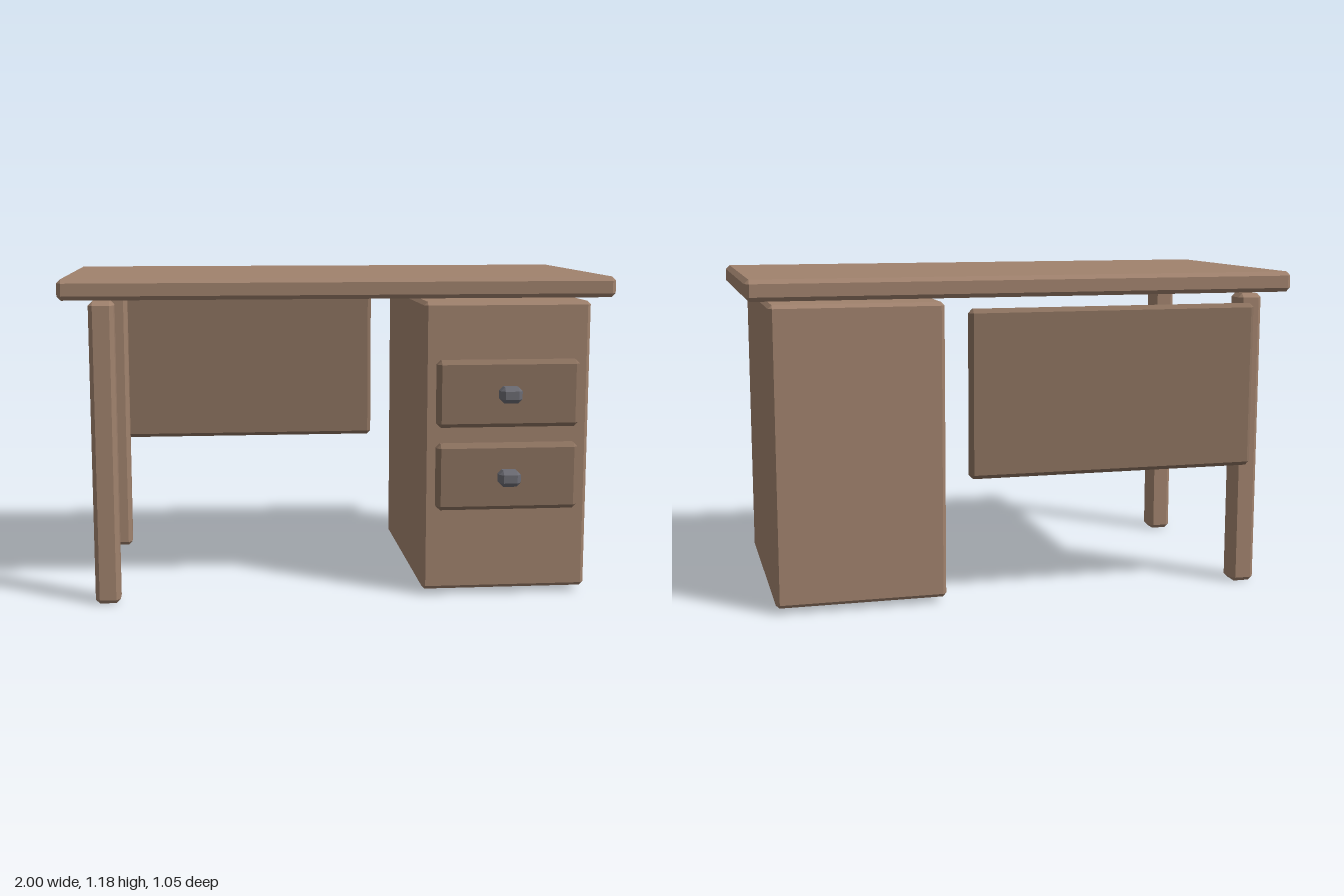
import * as THREE from 'three';
import { ConvexGeometry } from 'three/addons/geometries/ConvexGeometry.js';

const material = (color) => new THREE.MeshStandardMaterial({ color, flatShading: true });

// Box between two corners with every edge and corner cut off by c
function chamferBox(name, mat, [x0, x1], [y0, y1], [z0, z1], c = 0.015) {
  const half = [(x1 - x0) / 2, (y1 - y0) / 2, (z1 - z0) / 2];
  const points = [];
  for (const sx of [-1, 1]) for (const sy of [-1, 1]) for (const sz of [-1, 1]) {
    for (let outer = 0; outer < 3; outer++) {
      const p = half.map((h, axis) => (axis === outer ? h : h - c));
      points.push(new THREE.Vector3(p[0] * sx, p[1] * sy, p[2] * sz));
    }
  }
  const mesh = new THREE.Mesh(new ConvexGeometry(points), mat);
  mesh.name = name;
  mesh.position.set((x0 + x1) / 2, (y0 + y1) / 2, (z0 + z1) / 2);
  return mesh;
}

export function createModel() {
  const desk = new THREE.Group();
  desk.name = 'desk';
  const wood = material(0xa0826d);
  const darkWood = material(0x8c725f);
  const metal = material(0x6b6b73);

  // Table top
  desk.add(chamferBox('tableTop', wood, [-1, 1], [1.105, 1.18], [-0.525, 0.478]));

  // Two legs on the open side
  desk.add(chamferBox('frontLeg', wood, [-0.895, -0.805], [0, 1.1], [0.363, 0.453]));
  desk.add(chamferBox('backLeg', wood, [-0.895, -0.805], [0, 1.1], [-0.5, -0.41]));

  // Drawer cabinet
  desk.add(chamferBox('cabinet', wood, [0.305, 0.92], [0.02, 1.09], [-0.484, 0.438], 0.013));

  // Drawers, each with a knob
  for (const [side, y] of [['upper', 0.757], ['lower', 0.45]]) {
    const drawer = new THREE.Group();
    drawer.name = side + 'Drawer';
    drawer.add(chamferBox('drawerFront', darkWood, [0.35, 0.875], [y - 0.123, y + 0.123], [0.425, 0.478]));
    drawer.add(chamferBox('knob', metal, [0.574, 0.654], [y - 0.03, y + 0.03], [0.46, 0.525]));
    desk.add(drawer);
  }

  // Modesty panel across the back
  desk.add(chamferBox('backPanel', darkWood, [-0.86, 0.225], [0.455, 1.065], [-0.516, -0.476]));

  return desk;
}
